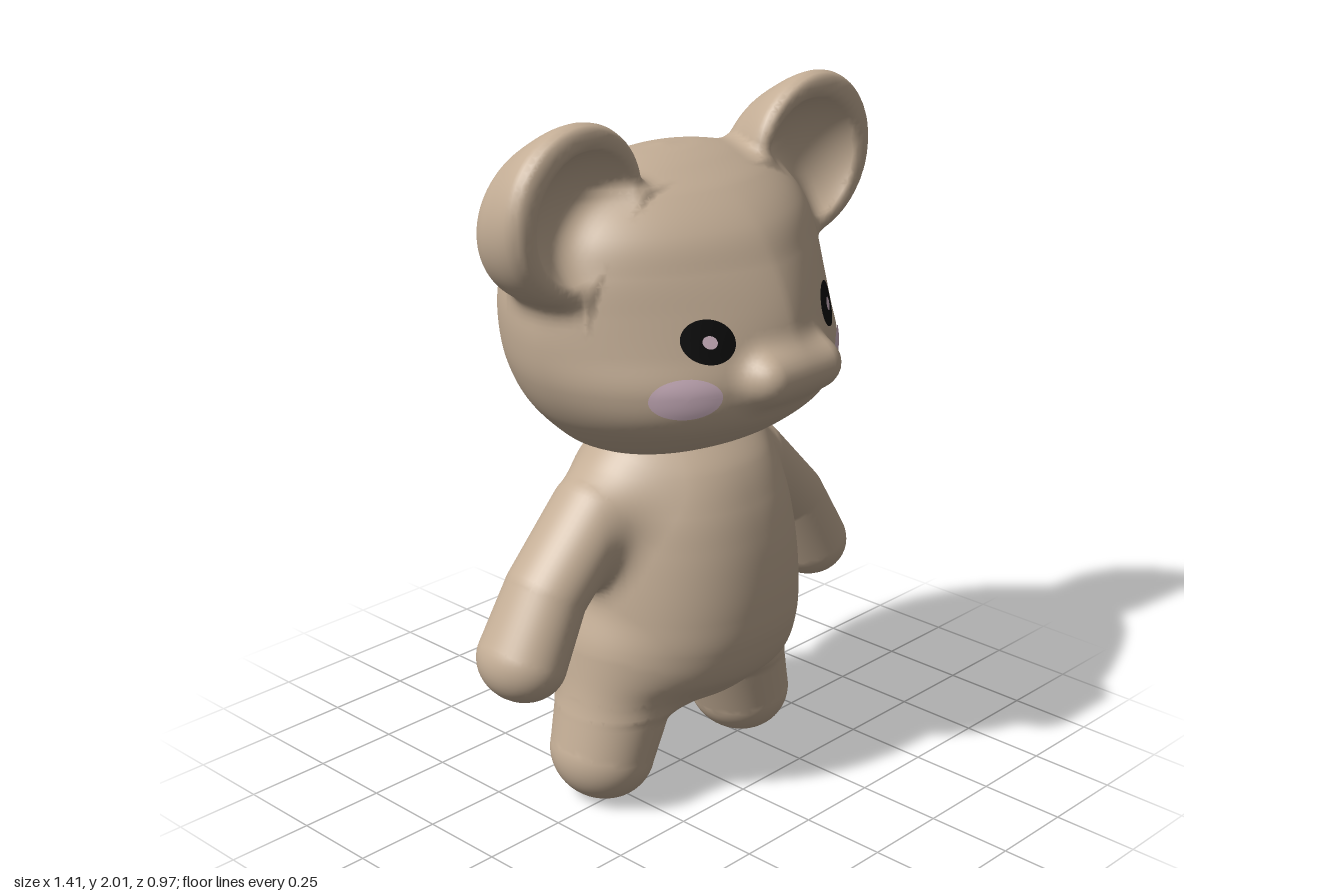
import * as THREE from 'three';

const paint = (name, color) => Object.assign(new THREE.MeshStandardMaterial({ color }), { name });

// Smooth cubic through stations [t, ...values], clamped at both ends
function spline(stations) {
  const last = stations.length - 1;
  const slope = (i, n) => {
    const a = stations[Math.max(i - 1, 0)], b = stations[Math.min(i + 1, last)];
    return (b[n] - a[n]) / (b[0] - a[0]);
  };
  return t => {
    let i = 0;
    while (i < last - 1 && stations[i + 1][0] < t) i++;
    const a = stations[i], b = stations[i + 1], h = b[0] - a[0];
    const s = Math.min(Math.max((t - a[0]) / h, 0), 1), r = 1 - s;
    return a.slice(1).map((v, n) =>
      r * r * (1 + 2 * s) * v + s * s * (3 - 2 * s) * b[n + 1]
      + s * r * h * (r * slope(i, n + 1) - s * slope(i + 1, n + 1)));
  };
}

// Distance to an upright body of oval sections [y, halfWidth, zMid, depthRatio, frontPower]
function profile(stations) {
  const at = spline(stations), e = 0.001;
  const low = stations[0][0] + e, high = stations[stations.length - 1][0] - e;
  return (x, y, z) => {
    const yc = Math.min(Math.max(y, low), high);
    const [w, mid, ratio, power] = at(yc);
    const slope = (at(yc + e)[0] - at(yc - e)[0]) / (2 * e);
    const depth = (z - mid) / ratio, p = depth > 0 ? power : 2;
    const radius = (Math.abs(x) ** p + Math.abs(depth) ** p) ** (1 / p);
    return (radius - w - slope * (y - yc)) / Math.hypot(1, Math.min(Math.abs(slope), 2));
  };
}

// Distance to a limb of rounded links through points [x, y, radius]
function limb(points, zMid, depthRatio) {
  return (x, y, z) => {
    let best = Infinity;
    for (let i = 0; i < points.length - 1; i++) {
      const [ax, ay, ar] = points[i], [bx, by, br] = points[i + 1];
      const dx = bx - ax, dy = by - ay;
      const t = Math.min(Math.max(((x - ax) * dx + (y - ay) * dy) / (dx * dx + dy * dy), 0), 1);
      const d = Math.hypot(x - ax - t * dx, y - ay - t * dy, (z - zMid) / depthRatio);
      best = Math.min(best, d - ar - t * (br - ar));
    }
    return best;
  };
}

const softMin = (a, b, k) => Math.min(a, b) - Math.max(k - Math.abs(a - b), 0) ** 2 / (4 * k);
const mirrored = field => (x, y, z) => field(-x, y, z);
const blend = (parts, k) => {
  const fields = Object.values(parts);
  return (x, y, z) => fields.reduce((d, f) => softMin(d, f(x, y, z), k), 10);
};

// Surface of softly blended parts, returned as one seamless geometry per part
function skin(parts, k, min, max, step = 0.016) {
  const field = blend(parts, k);
  const size = min.map((v, a) => Math.ceil((max[a] - v) / step) + 1);
  const stride = [1, size[0], size[0] * size[1]];
  const values = new Float32Array(size[0] * size[1] * size[2]);
  const node = n => [n % size[0], Math.floor(n / stride[1]) % size[1], Math.floor(n / stride[2])];
  const place = n => node(n).map((v, a) => min[a] + v * step);
  for (let n = 0; n < values.length; n++) values[n] = field(...place(n));

  const gradient = p => [0, 1, 2].map(a => {
    const q = [...p], r = [...p];
    q[a] += 0.002;
    r[a] -= 0.002;
    return (field(...q) - field(...r)) / 0.004;
  });

  // One vertex in every cell the surface crosses
  const positions = [], normals = [], cell = new Map();
  const corners = [...Array(8).keys()].map(c => [c & 1, (c >> 1) & 1, c >> 2]);
  const offset = corners.map(c => c[0] * stride[0] + c[1] * stride[1] + c[2] * stride[2]);
  for (let n = 0; n < values.length; n++) {
    if (node(n).some((v, a) => v === size[a] - 1)) continue;
    const inside = values[n] < 0;
    if (offset.every(o => (values[n + o] < 0) === inside)) continue;
    const sum = [0, 0, 0];
    let hits = 0;
    corners.forEach((corner, c) => {
      for (let a = 0; a < 3; a++) {
        if (corner[a]) continue;
        const v0 = values[n + offset[c]], v1 = values[n + offset[c] + stride[a]];
        if ((v0 < 0) === (v1 < 0)) continue;
        corner.forEach((v, b) => { sum[b] += v + (a === b ? v0 / (v0 - v1) : 0); });
        hits++;
      }
    });
    let p = place(n).map((v, a) => v + (sum[a] / hits) * step);
    for (let pass = 0; pass < 2; pass++) {
      const g = gradient(p), d = field(...p) / (g[0] ** 2 + g[1] ** 2 + g[2] ** 2 + 1e-6);
      p = p.map((v, a) => v - Math.min(Math.max(d * g[a], -step / 2), step / 2));
    }
    cell.set(n, positions.length / 3);
    positions.push(...p);
    normals.push(...new THREE.Vector3(...gradient(p)).normalize().toArray());
  }

  // Join the four cells around each crossed edge, sorted by the nearest part
  const names = Object.keys(parts), index = Object.fromEntries(names.map(name => [name, []]));
  for (let n = 0; n < values.length; n++) {
    for (let a = 0; a < 3; a++) {
      const u = stride[(a + 1) % 3], v = stride[(a + 2) % 3], next = n + stride[a];
      if (next >= values.length || (values[n] < 0) === (values[next] < 0)) continue;
      const quad = [n - u - v, n - v, n, n - u].map(c => cell.get(c));
      if (values[n] >= 0) quad.reverse();
      const here = place(n);
      const near = names.reduce((best, name) =>
        parts[name](...here) < parts[best](...here) ? name : best);
      index[near].push(quad[0], quad[1], quad[2], quad[0], quad[2], quad[3]);
    }
  }
  return names.map(name => {
    const geometry = new THREE.BufferGeometry();
    geometry.setAttribute('position', new THREE.Float32BufferAttribute(positions, 3));
    geometry.setAttribute('normal', new THREE.Float32BufferAttribute(normals, 3));
    return [name, geometry.setIndex(index[name]).toNonIndexed()];
  });
}

const torso = profile([
  [0.245, 0, -0.04, 0.8, 2], [0.255, 0.14, -0.04, 0.78, 2], [0.29, 0.255, -0.04, 0.8, 2],
  [0.34, 0.312, -0.045, 0.87, 2.1], [0.4, 0.335, -0.052, 1.01, 2.2], [0.5, 0.345, -0.047, 1.07, 2.2],
  [0.6, 0.338, -0.036, 1.083, 2.2], [0.7, 0.33, -0.03, 1.076, 2.2], [0.8, 0.318, -0.025, 1.054, 2.2],
  [0.9, 0.3, -0.02, 1.01, 2.2], [1, 0.27, -0.015, 0.935, 2.1], [1.06, 0.243, -0.015, 0.816, 2],
  [1.1, 0.19, -0.015, 0.75, 2], [1.13, 0, -0.015, 0.75, 2]
]);
const arm = limb([[0.588, 0.532, 0.115], [0.495, 0.7, 0.106], [0.31, 0.885, 0.11], [0.2, 0.93, 0.12]], -0.035, 1.18);
const leg = limb([[0.289, 0.142, 0.142], [0.2, 0.43, 0.17]], -0.035, 1.12);
const bodyParts = { torso, leftArm: arm, rightArm: mirrored(arm), leftLeg: leg, rightLeg: mirrored(leg) };

const skull = profile([
  [1.045, 0, -0.03, 0.75, 2], [1.055, 0.22, -0.035, 0.76, 2], [1.075, 0.3, -0.03, 0.78, 2],
  [1.12, 0.37, -0.017, 0.83, 2], [1.2, 0.445, -0.01, 0.885, 2], [1.3, 0.495, -0.01, 0.88, 1.8],
  [1.4, 0.513, -0.018, 0.862, 1.57], [1.5, 0.511, -0.028, 0.832, 1.52], [1.6, 0.49, -0.034, 0.78, 1.6],
  [1.7, 0.435, -0.03, 0.72, 1.75], [1.78, 0.35, -0.04, 0.64, 1.9], [1.825, 0.25, -0.05, 0.56, 2],
  [1.85, 0.13, -0.06, 0.55, 2], [1.86, 0, -0.06, 0.55, 2]
]);
// Ear: a bowl lofted from back to front, leaning down at the back, with a hollow scooped out
const earShell = profile([
  [-0.175, 0], [-0.165, 0.08], [-0.13, 0.15], [-0.08, 0.195], [-0.02, 0.22],
  [0.05, 0.236], [0.09, 0.228], [0.115, 0.19], [0.125, 0.1], [0.13, 0]
].map(([z, radius]) => [z, radius, 1.75 + 0.3 * z, 1, 2]));
const ear = (x, y, z) => {
  const hollow = Math.hypot((x - 0.43) / 0.2, (y - 1.755) / 0.2, (z - 0.16) / 0.15) - 1;
  return -softMin(-earShell(x - 0.455, z, y), 0.16 * hollow, 0.04);
};
const muzzle = limb([[-0.094, 1.325, 0.068], [0.094, 1.325, 0.068]], 0, 1);
const headParts = {
  head: skull, leftEar: ear, rightEar: mirrored(ear), snout: (x, y, z) => muzzle(x, y, z - 0.414)
};
const headField = blend(headParts, 0.06);

// Depth of the face at a given x and y
function faceZ(x, y) {
  let inside = 0, outside = 0.6;
  for (let i = 0; i < 24; i++) {
    const z = (inside + outside) / 2;
    if (headField(x, y, z) < 0) inside = z;
    else outside = z;
  }
  return inside;
}

// Thin oval that follows the curve of the face
function facePatch(cx, cy, rx, ry, lift) {
  const geometry = new THREE.RingGeometry(0, 1, 40, 6);
  const p = geometry.attributes.position;
  for (let i = 0; i < p.count; i++) {
    const x = cx + p.getX(i) * rx, y = cy + p.getY(i) * ry;
    p.setXYZ(i, x, y, faceZ(x, y) + lift);
  }
  geometry.computeVertexNormals();
  return geometry;
}

export function createModel() {
  const fur = paint('tan fur', 0xc4ae96);
  const black = paint('eye black', 0x0a0a0a);
  const blush = paint('blush pink', 0xd2b6c4);
  const model = new THREE.Group(), headGroup = new THREE.Group();
  model.name = 'toyBear';
  headGroup.name = 'headGroup';
  headGroup.position.x = -0.006;
  model.add(headGroup);
  const add = (name, geometry, material, parent) => {
    const mesh = new THREE.Mesh(geometry, material);
    mesh.name = name;
    parent.add(mesh);
    return mesh;
  };

  skin(bodyParts, 0.08, [-0.76, -0.05, -0.5], [0.76, 1.2, 0.4])
    .forEach(([name, geometry]) => add(name, geometry, fur, model));
  skin(headParts, 0.06, [-0.76, 1, -0.52], [0.76, 2.06, 0.54])
    .forEach(([name, geometry]) => add(name, geometry, fur, headGroup));
  add('tail', new THREE.SphereGeometry(0.055, 32, 24), fur, model).position.set(-0.012, 0.455, -0.43);

  // Eyes and cheeks
  for (const [side, sign] of [['left', 1], ['right', -1]]) {
    add(side + 'Eye', facePatch(sign * 0.234, 1.44, 0.062, 0.058, 0.005), black, headGroup);
    add(side + 'Pupil', facePatch(sign * 0.234, 1.44, 0.017, 0.017, 0.009), blush, headGroup);
    add(side + 'Cheek', facePatch(sign * 0.3, 1.295, 0.078, 0.056, 0.005), blush, headGroup);
  }
  return model;
}
